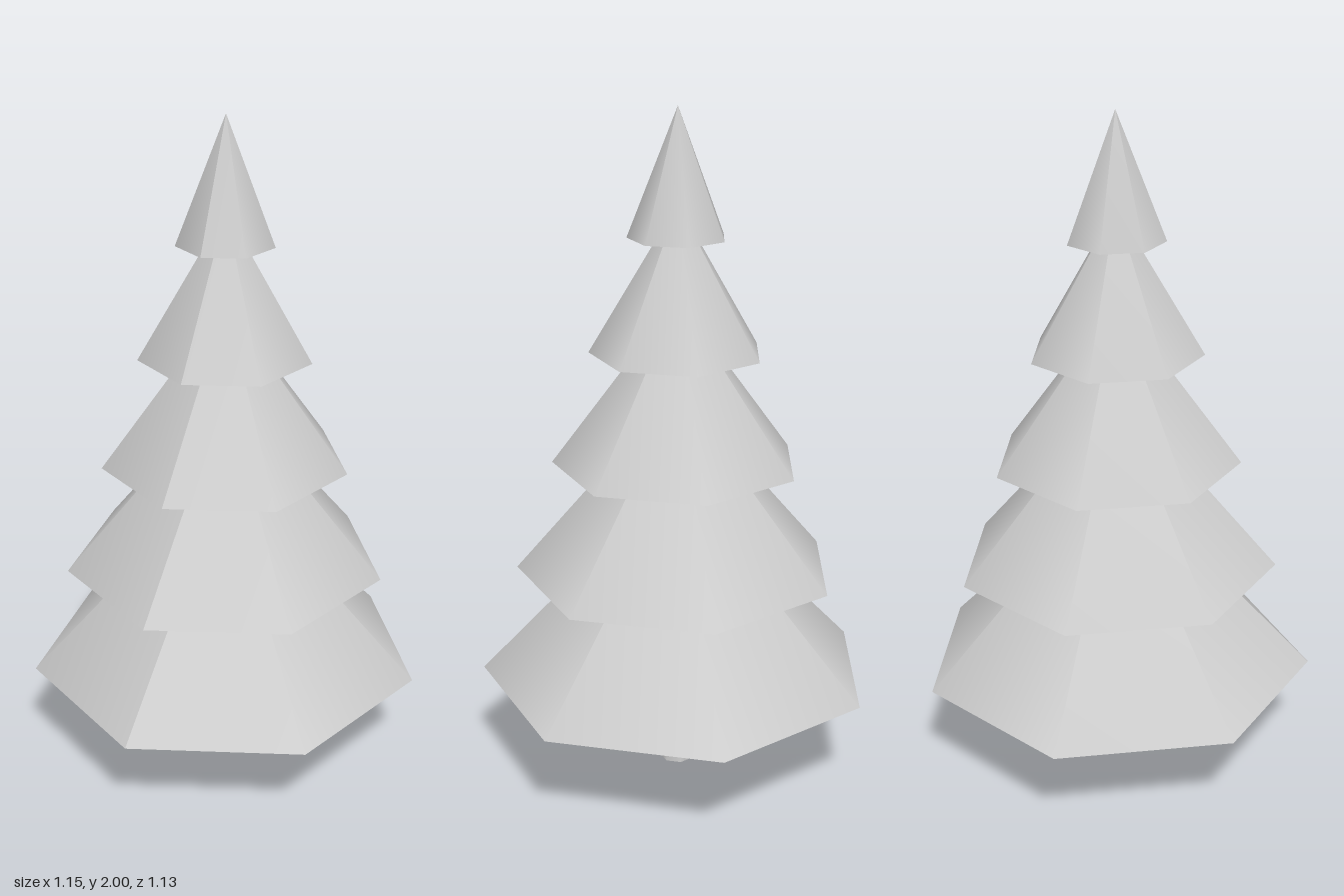
import * as THREE from 'three';

const SIDES = 7;
const TIERS = 5;

export function createModel() {
  const group = new THREE.Group();
  const paleGrey = new THREE.MeshStandardMaterial({ color: 0xcccccc, side: THREE.DoubleSide });

  // Open seven-sided shell with one corner, and its seam, facing the front
  const addShell = (name, topRadius, bottomRadius, bottom, top) => {
    const geometry = new THREE.CylinderGeometry(topRadius, bottomRadius, top - bottom, SIDES, 1, true);
    geometry.computeVertexNormals();
    const mesh = new THREE.Mesh(geometry, paleGrey);
    mesh.name = name;
    mesh.position.set(0, (bottom + top) / 2, -0.029);
    group.add(mesh);
  };

  // Tapered trunk reaching a little way into the lowest branches
  addShell('trunk', 0.036, 0.052, 0, 0.37);

  // Hollow branch cones, shrinking evenly towards the tip
  for (let i = 0; i < TIERS; i++) {
    const bottom = 0.3 + i * 0.3335;
    const height = 0.625 - i * 0.06475;
    addShell(`branchTier${i + 1}`, 0, 0.592 - i * 0.112, bottom, bottom + height);
  }

  return group;
}
